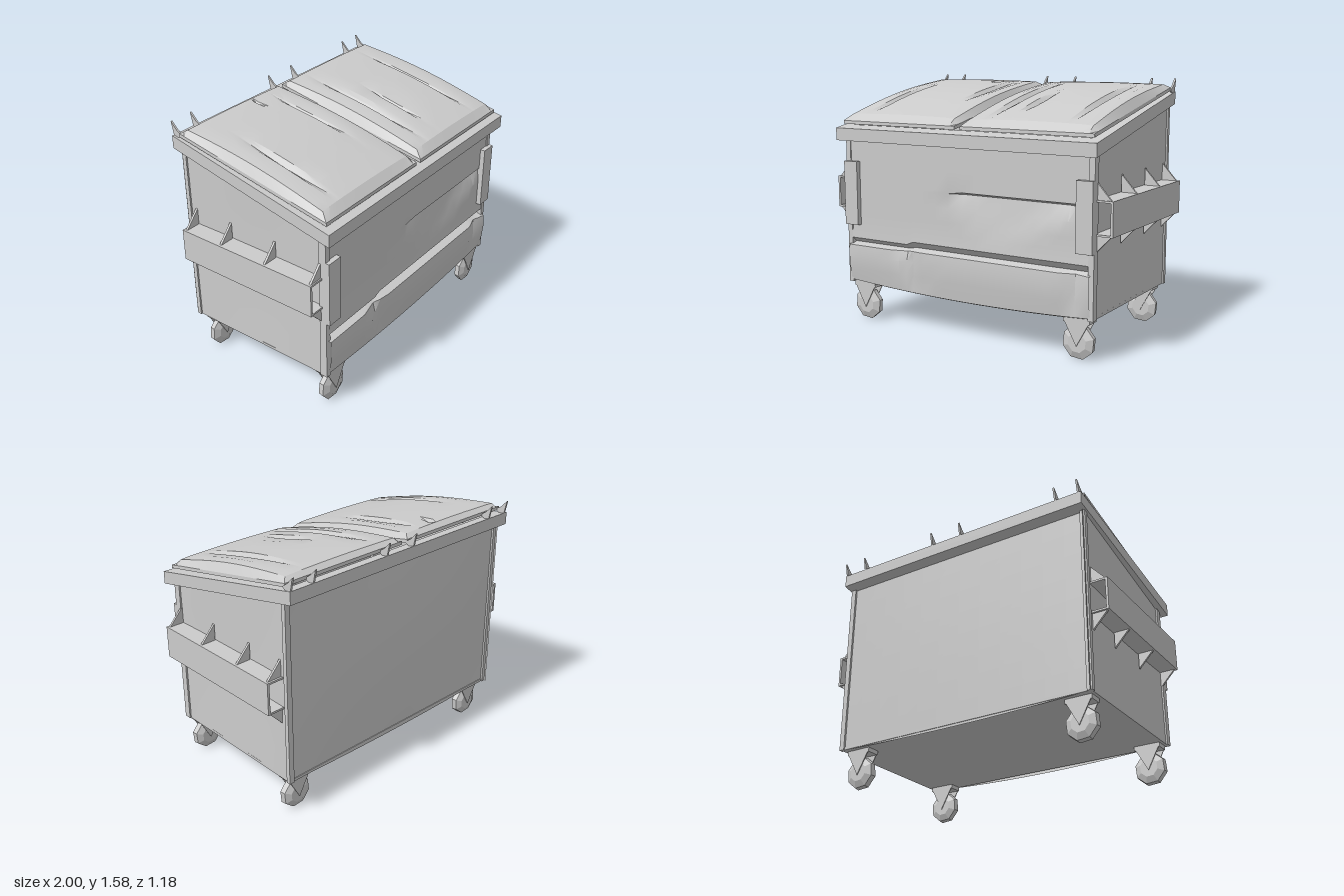
import * as THREE from 'three';
import { toCreasedNormals } from 'three/addons/utils/BufferGeometryUtils.js';

const material = new THREE.MeshStandardMaterial({ color: 0xcccccc, side: THREE.DoubleSide });
const SLOPE = -0.2;                                   // fall of the top from back to front
const rimBottom = (z) => 1.318 + SLOPE * z;
const clamp01 = (t) => Math.min(1, Math.max(0, t));
const range = (a, b, n) => Array.from({ length: n + 1 }, (_, i) => a + ((b - a) * i) / n);

function add(group, name, geometry, x = 0, y = 0, z = 0) {
  const mesh = new THREE.Mesh(geometry, material);
  mesh.name = name;
  mesh.position.set(x, y, z);
  group.add(mesh);
  return mesh;
}

function box(group, name, x0, x1, y0, y1, z0, z1) {
  const g = new THREE.BoxGeometry(Math.abs(x1 - x0), y1 - y0, z1 - z0);
  return add(group, name, g, (x0 + x1) / 2, (y0 + y1) / 2, (z0 + z1) / 2);
}

// Sheet through fn(u, v) -> [x, y, z]; faces the direction du x dv
function sheet(us, vs, fn, crease = 0.45) {
  const points = [], index = [], n = us.length;
  vs.forEach((v) => us.forEach((u) => points.push(...fn(u, v))));
  for (let j = 0; j < vs.length - 1; j++) {
    for (let i = 0; i < n - 1; i++) {
      const a = j * n + i;
      index.push(a, a + 1, a + n + 1, a, a + n + 1, a + n);
    }
  }
  const g = new THREE.BufferGeometry();
  g.setAttribute('position', new THREE.Float32BufferAttribute(points, 3));
  g.setIndex(index);
  return toCreasedNormals(g, crease);
}

// Flat outline extruded symmetrically along z
function plate(points, thickness) {
  const shape = new THREE.Shape(points.map(([x, y]) => new THREE.Vector2(x, y)));
  return new THREE.ExtrudeGeometry(shape, { depth: thickness, bevelEnabled: false })
    .translate(0, 0, -thickness / 2);
}

// Front wall rows: height, depth, and how strongly the lower dents act
function frontWall() {
  const sag = (x) => 0.265 - 0.03 * (1 - (x / 0.88) ** 2);
  const fold = (x) => (x < -0.41 ? 0 : 0.02);
  const rows = [
    [sag, 0.505, 0],
    [(x) => sag(x) + 0.012, 0.535, 0],
    [() => 0.36, 0.55, 0.6],
    [() => 0.45, 0.558, 0.9],
    [(x) => 0.515 + fold(x) * 0.4, 0.553, 1],
    [(x) => 0.53 + fold(x) * 0.5, 0.5, 0],
    [(x) => 0.56 + fold(x), 0.535, 0],
    ...[0.65, 0.73, 0.82, 0.91, 0.925, 1.05].map((y) => [() => y, 0.53, 0]),
    [() => 1.24, 0.53, 0],
  ];
  const xs = [-0.88, -0.8, -0.65, -0.55, -0.47, -0.42, -0.37, -0.3, -0.2, -0.1, 0, 0.1, 0.2,
    0.3, 0.4, 0.5, 0.6, 0.68, 0.73, 0.78, 0.83, 0.88];
  return sheet(xs, rows.map((_, i) => i), (x, i) => {
    const [height, depth, dent] = rows[i];
    const y = height(x);
    let z = depth;
    z -= dent * 0.035 * clamp01(1 - Math.abs(x + 0.42 - (0.5 - y) * 0.6) / 0.09);
    z -= dent * 0.03 * clamp01(1 - Math.abs(x - 0.78) / 0.09);
    // triangular dent under the crease
    if (y > 0.6 && y < 0.92) {
      const t = clamp01((y - 0.62) / 0.29);
      const left = 0.25 - 0.35 * t, right = 0.25 + 0.57 * t;
      z -= 0.035 * t * clamp01(Math.min(x - left, right - x) / 0.1 + 0.1);
    }
    return [x, y, z];
  });
}

function body() {
  const g = new THREE.Group();
  g.name = 'body';
  add(g, 'frontWall', frontWall());
  add(g, 'backWall', sheet(range(0.9, -0.9, 12), range(0, 1, 8), (x, v) => {
    const bulge = (1 - (x / 0.9) ** 2) * Math.sin(Math.PI * v);
    const sag = 0.02 * (1 - (x / 0.9) ** 2) * (1 - v);
    return [x, 0.265 - sag + v * 1.18, -0.5 - 0.006 * bulge];
  }));
  for (const s of [-1, 1]) {
    add(g, 'sideWall', sheet(range(0.525 * s, -0.5 * s, 8), range(0, 1, 6), (z, v) => [
      s * (0.89 - 0.008 * Math.sin(Math.PI * v) * Math.cos(z * 3)),
      0.262 + v * (rimBottom(z) + 0.03 - 0.262), z]));
    box(g, 'frontCornerPost', s * 0.865, s * 0.9, 0.262, 1.23, 0.49, 0.537);
    box(g, 'backCornerPost', s * 0.865, s * 0.9, 0.262, 1.44, -0.513, -0.485);
    box(g, 'frontBracket', s * 0.795, s * 0.9, 0.65, 1.065, 0.5, 0.562);
  }
  box(g, 'floor', -0.89, 0.89, 0.262, 0.28, -0.505, 0.52);
  return g;
}

// Sloping frame around the opening
function rim() {
  const shape = new THREE.Shape([[-0.935, -0.59], [0.935, -0.59], [0.91, 0.572], [-0.91, 0.572]]
    .map(([x, y]) => new THREE.Vector2(x, y)));
  shape.holes.push(new THREE.Path([[-0.86, -0.5], [-0.86, 0.49], [0.86, 0.49], [0.86, -0.5]]
    .map(([x, y]) => new THREE.Vector2(x, y))));
  const g = new THREE.ExtrudeGeometry(shape, { depth: 0.08, bevelEnabled: false }).rotateX(-Math.PI / 2);
  const p = g.attributes.position;
  for (let i = 0; i < p.count; i++) p.setY(i, p.getY(i) + rimBottom(p.getZ(i)));
  g.computeVertexNormals();
  return g;
}

// Domed lid with slit-like creases given as [x, zBack, zFront]
function lid(x0, x1, creases) {
  const inner = creases.flatMap(([x]) => [x - 0.03, x, x + 0.012]);
  const xs = [x0, x0 + 0.001, x0 + 0.035, ...range(x0 + 0.09, x1 - 0.09, 6), ...inner,
    x1 - 0.035, x1 - 0.001, x1].sort((a, b) => a - b);
  const zs = [0.55, 0.549, 0.5, ...range(0.44, -0.43, 9), -0.48, -0.515, -0.516];
  return sheet(xs, zs, (x, z) => {
    const inX = Math.min(x - x0, x1 - x), inZ = Math.min(0.55 - z, z + 0.516);
    const edge = Math.min(inX, inZ);
    const base = 1.415 + SLOPE * z;
    if (edge < 0.0005) return [x, base, z];
    const across = Math.sin((Math.PI * (x - x0)) / (x1 - x0));
    const along = Math.sin((Math.PI * (0.55 - z)) / 1.066);
    let h = 0.02 + clamp01(edge / 0.04) * (0.027 + 0.036 * along + 0.008 * across);
    for (const [c, a, b] of creases) {
      if (z > a && z < b) {
        h -= 0.028 * clamp01(1 - Math.abs(x - c) / 0.025) * Math.sin((Math.PI * (z - a)) / (b - a));
      }
    }
    return [x, base + h, z];
  }, 0.4);
}

// Open sleeve on the side with triangular gussets above and below
function forkPocket(s) {
  const g = new THREE.Group();
  g.name = s > 0 ? 'leftForkPocket' : 'rightForkPocket';
  box(g, 'outerPlate', s * 0.985, s * 1.0, 0.75, 0.955, -0.465, 0.51);
  box(g, 'topPlate', s * 0.885, s * 0.995, 0.943, 0.955, -0.465, 0.51);
  box(g, 'bottomPlate', s * 0.885, s * 0.995, 0.75, 0.762, -0.465, 0.51);
  for (const z of [-0.445, -0.17, 0.165, 0.495]) {
    add(g, 'gusset', plate([[s * 0.89, 0.95], [s * 0.99, 0.95], [s * 0.89, 1.06]], 0.014), 0, 0, z);
    add(g, 'gusset', plate([[s * 0.89, 0.755], [s * 0.99, 0.755], [s * 0.89, 0.65]], 0.014), 0, 0, z);
  }
  return g;
}

// Faceted wheel held by a V-shaped fork
function caster(x, z) {
  const g = new THREE.Group();
  g.name = 'caster';
  const profile = [[0, -0.036], [0.06, -0.036], [0.1, -0.017], [0.105, 0.017], [0.06, 0.036], [0, 0.036]];
  const wheel = new THREE.LatheGeometry(profile.map(([r, h]) => new THREE.Vector2(r, h)), 8)
    .rotateX(Math.PI / 2).rotateZ(0.3);
  add(g, 'wheel', toCreasedNormals(wheel, 0.3), 0, 0.115, 0);
  for (const s of [-1, 1]) {
    add(g, 'fork', plate([[-0.085, 0.25], [0, 0.095], [0.085, 0.25]], 0.006), 0, 0, s * 0.041);
  }
  box(g, 'mountPlate', -0.085, 0.085, 0.235, 0.264, -0.044, 0.044);
  g.position.set(x, 0, z);
  return g;
}

export function createModel() {
  const model = new THREE.Group();
  model.name = 'wasteContainer';
  model.add(body());
  add(model, 'rim', rim());
  add(model, 'rightLid', lid(-0.905, -0.035, [[-0.73, -0.2, 0.46], [-0.2, -0.43, 0.2], [-0.33, -0.46, -0.36]]));
  add(model, 'leftLid', lid(0.005, 0.9, [[0.17, -0.43, 0.5], [0.33, -0.1, 0.36], [0.72, -0.4, 0.48]]));

  // Pointed hinge tabs along the back edge
  for (const x of [-0.89, -0.735, -0.04, 0.18, 0.74, 0.9]) {
    const tab = plate([[0.5, 1.52], [0.565, 1.49], [0.588, 1.595], [0.545, 1.55]], 0.012);
    add(model, 'hingeTab', tab.rotateY(Math.PI / 2).scale(1, 1, 1), x);
  }
  for (const s of [-1, 1]) {
    model.add(forkPocket(s));
    model.add(caster(s * 0.785, 0.475), caster(s * 0.785, -0.42));
  }
  return model;
}
